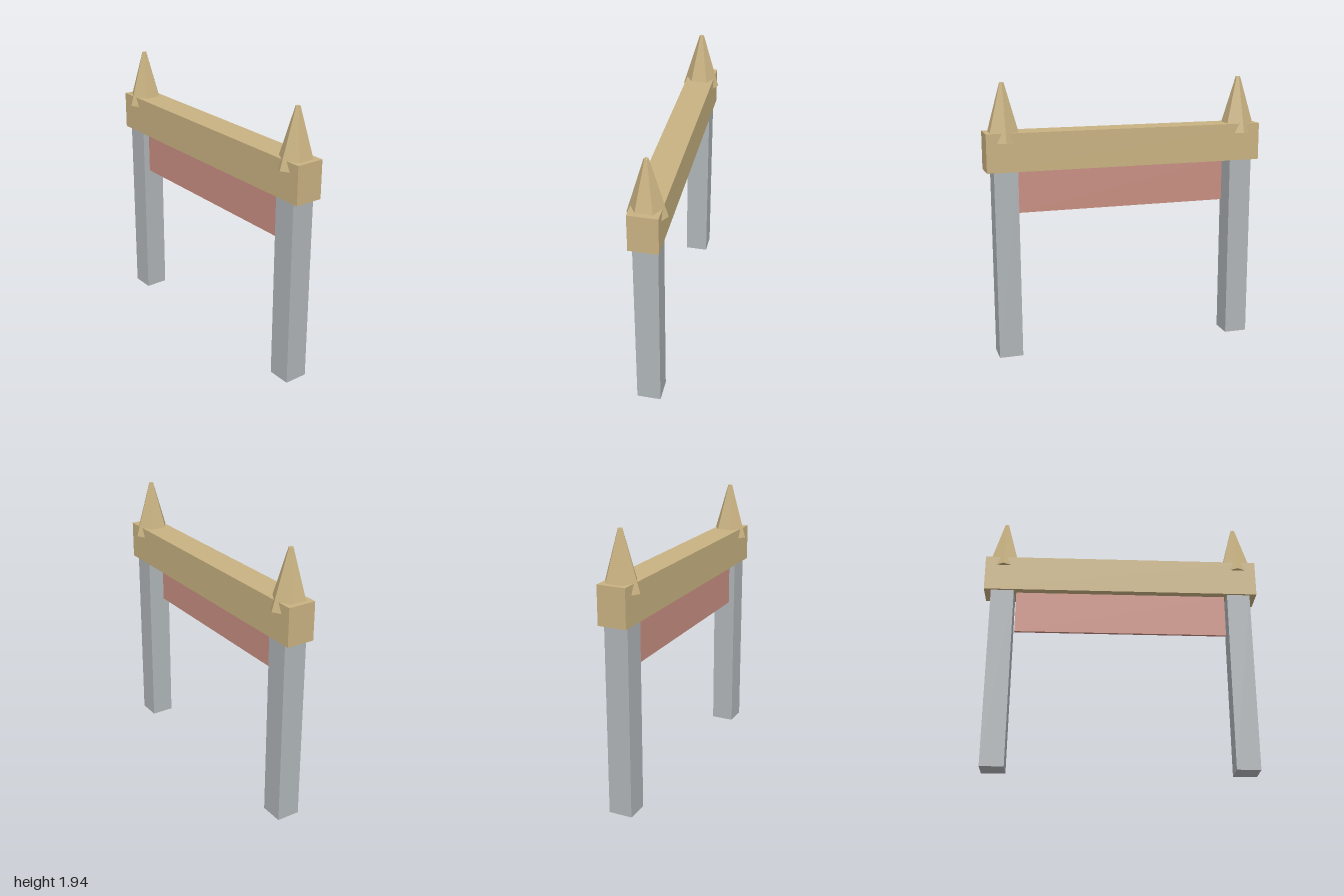
import * as THREE from 'three';

const material = (name, color) => {
  const m = new THREE.MeshStandardMaterial({ color });
  m.name = name;
  return m;
};

export function createModel() {
  const model = new THREE.Group();
  model.name = 'gateway';
  const wood = material('tan wood', 0xc9b282);
  const stone = material('grey stone', 0xb0b5b8);
  const cloth = material('faded red', 0xc98f82);

  const add = (name, geometry, mat, x, y, z) => {
    const mesh = new THREE.Mesh(geometry, mat);
    mesh.name = name;
    mesh.position.set(x, y, z);
    model.add(mesh);
  };

  // Crossbeam resting on the posts
  add('crossbeam', new THREE.BoxGeometry(2, 0.267, 0.2), wood, 0, 1.468, 0);

  // Thin panel hung under the beam, a little forward of centre
  add('hangingPanel', new THREE.BoxGeometry(1.534, 0.315, 0.02), cloth, 0, 1.178, 0.036);

  // Square posts and faceted spires, one pair per side
  const postGeometry = new THREE.BoxGeometry(0.167, 1.335, 0.167);
  const spireGeometry = new THREE.CylinderGeometry(0.016, 0.133, 0.4, 6).toNonIndexed();
  spireGeometry.computeVertexNormals();
  for (const [side, s] of [['left', 1], ['right', -1]]) {
    add(side + 'Post', postGeometry, stone, s * 0.867, 0.6675, 0);
    add(side + 'Spire', spireGeometry, wood, s * 0.867, 1.735, 0);
  }
  return model;
}
